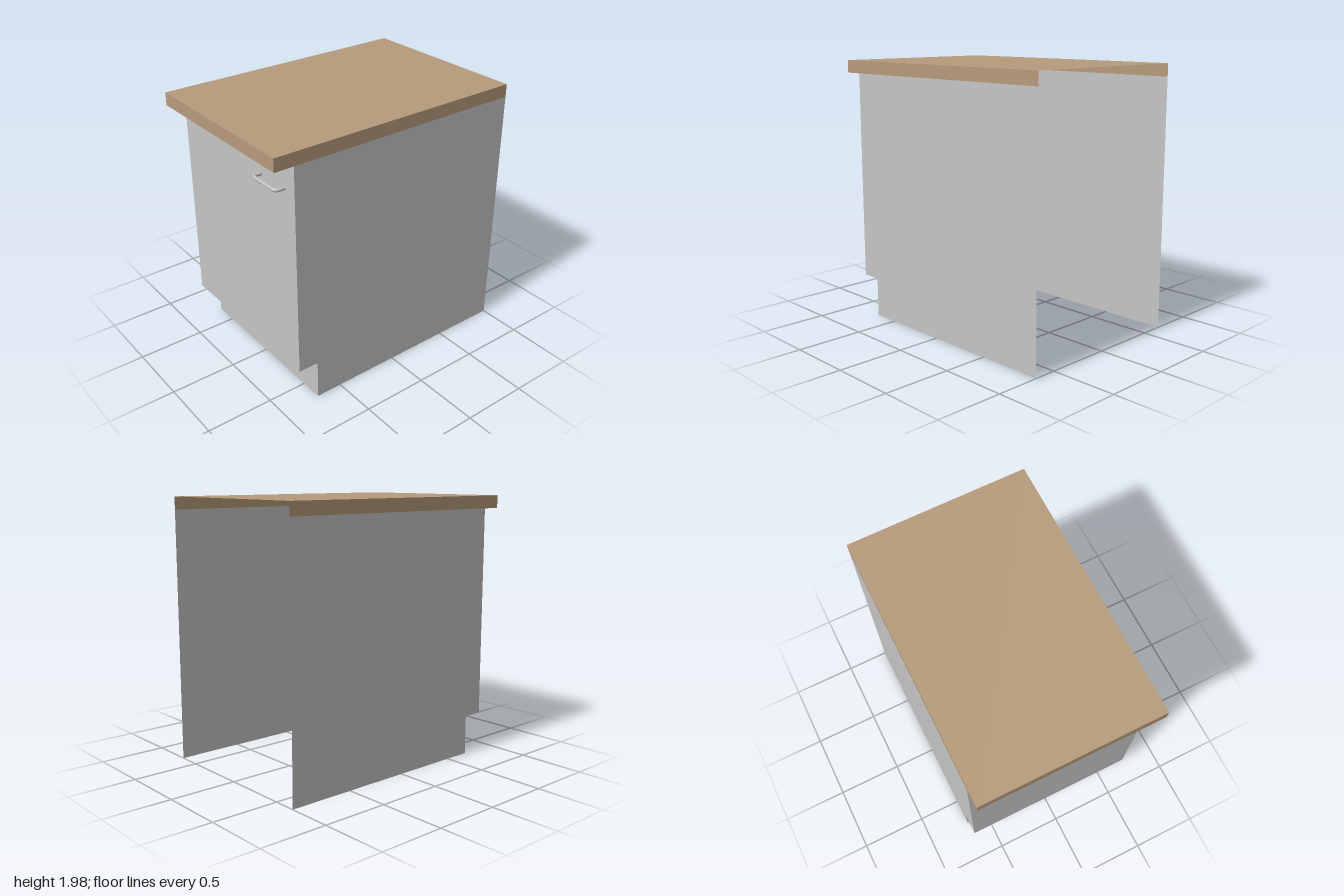
import * as THREE from 'three';

const W = 0.672, TOP = 1.975, COUNTER = 1.88, STEP = 0.3;
const FRONT = 1, DOOR = 0.855, KICK = 0.7, BACK = -1;

const flat = (name, color) => new THREE.MeshStandardMaterial({ name, color, side: THREE.DoubleSide });

export function createModel() {
  const group = new THREE.Group();
  group.name = 'baseCabinet';
  const paint = flat('greyPaint', 0xc5c5c5);
  const wood = flat('brownWorktop', 0xb69b7b);
  const metal = new THREE.MeshStandardMaterial({ name: 'handleMetal', color: 0xc0c0c0 });

  const add = (name, geometry, material) => {
    const mesh = new THREE.Mesh(geometry, material);
    mesh.name = name;
    group.add(mesh);
    return mesh;
  };
  // Upright sheet across the full width, facing the front
  const upright = (name, y0, y1, z, material) =>
    add(name, new THREE.PlaneGeometry(2 * W, y1 - y0).translate(0, (y0 + y1) / 2, z), material);
  // Level sheet across the full width; dir is 1 facing up, -1 facing down
  const level = (name, z0, z1, y, dir, material) =>
    add(name, new THREE.PlaneGeometry(2 * W, z1 - z0).rotateX(-dir * Math.PI / 2).translate(0, y, (z0 + z1) / 2), material);
  // Side sheet from a (z, y) outline
  const side = (name, outline, s, material) => {
    const shape = new THREE.Shape(outline.map(([z, y]) => new THREE.Vector2(s < 0 ? z : -z, y)));
    add(name, new THREE.ShapeGeometry(shape).rotateY(s * Math.PI / 2).translate(s * W, 0, 0), material);
  };

  // Worktop: open at the back, with a lip under the front overhang
  level('worktopSurface', BACK, FRONT, TOP, 1, wood);
  upright('worktopFrontEdge', COUNTER, TOP, FRONT, wood);
  level('worktopOverhang', DOOR, FRONT, COUNTER, -1, wood);

  // Carcass: door, toe-kick ledge and plinth, open at the back and below
  upright('door', STEP, COUNTER, DOOR, paint);
  level('toeKickLedge', KICK, DOOR, STEP, -1, paint);
  upright('plinth', 0, STEP, KICK, paint);

  for (const s of [1, -1]) {
    const label = s > 0 ? 'left' : 'right';
    side(label + 'WorktopEdge', [[BACK, COUNTER], [FRONT, COUNTER], [FRONT, TOP], [BACK, TOP]], s, wood);
    side(label + 'SidePanel',
      [[BACK, 0], [KICK, 0], [KICK, STEP], [DOOR, STEP], [DOOR, COUNTER], [BACK, COUNTER]], s, paint);
  }

  // Bow handle with rounded corners
  const y = 1.687, xa = 0.299, xb = 0.56, zf = 0.921, r = 0.035;
  const p = (x, z) => new THREE.Vector3(x, y, z);
  const path = new THREE.CurvePath();
  path.add(new THREE.LineCurve3(p(xa, DOOR), p(xa, zf - r)));
  path.add(new THREE.QuadraticBezierCurve3(p(xa, zf - r), p(xa, zf), p(xa + r, zf)));
  path.add(new THREE.LineCurve3(p(xa + r, zf), p(xb - r, zf)));
  path.add(new THREE.QuadraticBezierCurve3(p(xb - r, zf), p(xb, zf), p(xb, zf - r)));
  path.add(new THREE.LineCurve3(p(xb, zf - r), p(xb, DOOR)));
  add('doorHandle', new THREE.TubeGeometry(path, 48, 0.013, 12), metal);

  return group;
}
